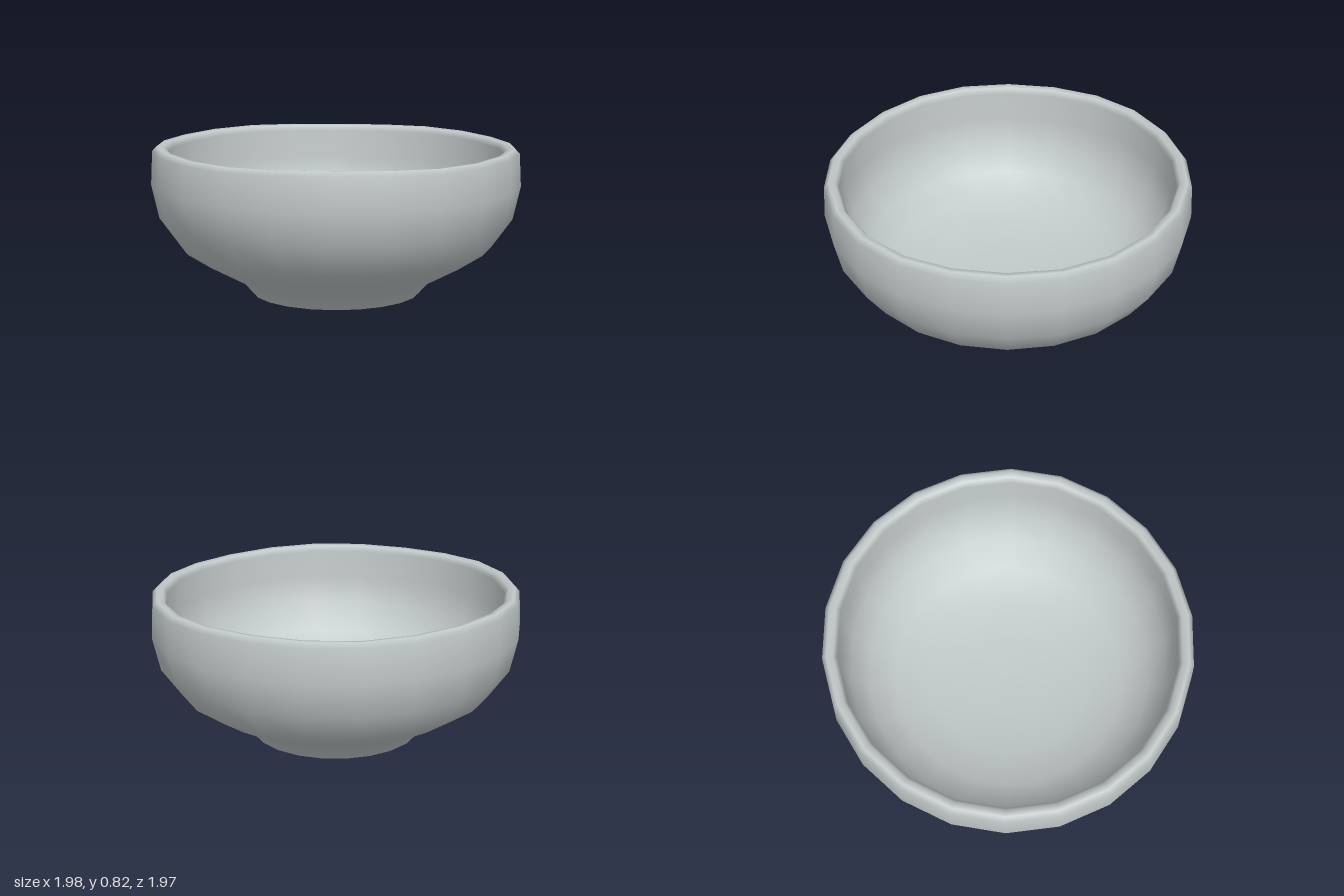
import * as THREE from 'three';

const SIDES = 22;

// Revolves a profile, then squashes it slightly and lets the rim tilt and wave
function revolve(name, profile, material) {
  const points = profile.map(([r, y]) => new THREE.Vector2(r, y));
  const geometry = new THREE.LatheGeometry(points, SIDES);
  const pos = geometry.attributes.position;
  for (let i = 0; i < pos.count; i++) {
    const x = pos.getX(i), y = pos.getY(i), z = pos.getZ(i);
    const lift = Math.max(0, (y - 0.5) / 0.31);
    const wave = -0.01 * z - 0.005 * x + 0.004 * Math.sin(5 * Math.atan2(z, x));
    pos.setXYZ(i, x, y + lift * wave, z * 0.983);
  }
  const mesh = new THREE.Mesh(geometry, material);
  mesh.name = name;
  return mesh;
}

export function createModel() {
  const glaze = new THREE.MeshStandardMaterial({ color: 0xc2c9c9 });
  glaze.name = 'pale grey glaze';

  const bowl = new THREE.Group();
  bowl.name = 'bowl';

  // Outer wall with the flared foot
  const outer = [[0.46, 0.005], [0.53, 0.085], [0.72, 0.19], [0.85, 0.275],
    [0.96, 0.43], [1, 0.61], [0.99, 0.79]];
  // Rounded lip
  const lip = [[0.965, 0.815], [0.93, 0.81], [0.91, 0.78]];
  // Inner wall running down to the shallow floor
  const inner = [[0.915, 0.62], [0.88, 0.46], [0.79, 0.32], [0.65, 0.225],
    [0.45, 0.165], [0.22, 0.14], [0, 0.135]];
  bowl.add(revolve('bowlWall', [...outer, ...lip, ...inner], glaze));

  // Underside of the foot
  bowl.add(revolve('footBase', [[0, 0.012], [0.3, 0.008], [0.46, 0.005]], glaze));

  bowl.position.y = -0.005;
  const model = new THREE.Group();
  model.add(bowl);
  return model;
}
